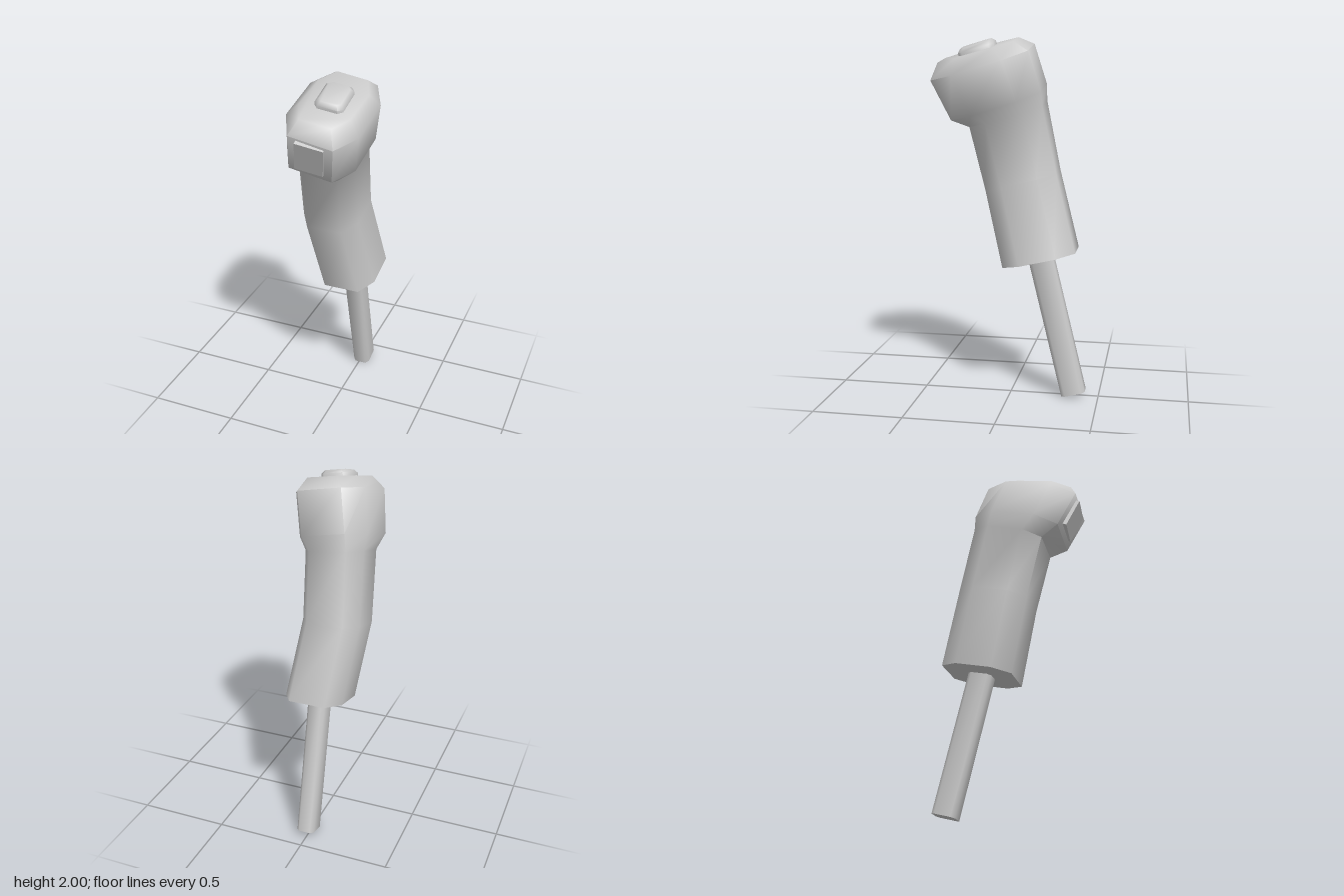
import * as THREE from 'three';
import { toCreasedNormals } from 'three/addons/utils/BufferGeometryUtils.js';

const material = new THREE.MeshStandardMaterial({ color: 0xcccccc });

// Eight-sided ring: x centre, half width, front and back [z, y] points,
// roll (drop toward +x), skew (x shift front to back), chamfer shares in x and depth.
function ring({ x, w, front, back, roll = 0, skew = 0, cu = 0.38, cv = 0.25 }) {
  const f = 1 - cu;
  const corners = [[-f, 0], [f, 0], [1, cv], [1, 1 - cv], [f, 1], [-f, 1], [-1, 1 - cv], [-1, cv]];
  return corners.map(([u, v]) => new THREE.Vector3(
    x + u * w + skew * (v - 0.5),
    THREE.MathUtils.lerp(front[1], back[1], v) - u * w * roll,
    THREE.MathUtils.lerp(front[0], back[0], v),
  ));
}

// Closed skin through a list of rings, from bottom to top.
function loft(name, specs, crease = 1.1) {
  const rings = specs.map(ring);
  const n = rings[0].length;
  const positions = rings.flat().flatMap((p) => p.toArray());
  const index = [];
  for (let r = 0; r < rings.length - 1; r++) {
    for (let i = 0; i < n; i++) {
      const a = r * n + i, b = r * n + (i + 1) % n;
      index.push(a, b, b + n, a, b + n, a + n);
    }
  }
  const top = (rings.length - 1) * n;
  for (let i = 1; i < n - 1; i++) {
    index.push(0, i + 1, i, top, top + i, top + i + 1);
  }
  const geometry = new THREE.BufferGeometry();
  geometry.setAttribute('position', new THREE.Float32BufferAttribute(positions, 3));
  geometry.setIndex(index);
  const mesh = new THREE.Mesh(toCreasedNormals(geometry, crease), material);
  mesh.name = name;
  return mesh;
}

export function createModel() {
  const group = new THREE.Group();
  group.name = 'controlStick';

  // Leaning shaft
  group.add(loft('shaft', [
    { x: 0.01, w: 0.05, front: [-0.295, 0], back: [-0.427, 0.035], cu: 0.35, cv: 0.16 },
    { x: 0.01, w: 0.05, front: [-0.095, 0.82], back: [-0.227, 0.855], cu: 0.35, cv: 0.16 },
  ]));

  // Bent grip flowing into the head
  group.add(loft('gripAndHead', [
    { x: 0.008, w: 0.163, front: [0.03, 0.745], back: [-0.37, 0.84] },
    { x: -0.05, w: 0.16, front: [0.135, 1.165], back: [-0.257, 1.262] },
    { x: -0.037, w: 0.161, front: [0.22, 1.525], back: [-0.18, 1.64], roll: 0.12 },
    { x: -0.028, w: 0.188, front: [0.32, 1.57], back: [-0.178, 1.725], roll: 0.18, skew: 0.03 },
    { x: 0.018, w: 0.191, front: [0.42, 1.785], back: [-0.115, 1.94], roll: 0.18, skew: 0.03 },
    { x: 0.03, w: 0.135, front: [0.385, 1.872], back: [-0.035, 1.982], roll: 0.16, skew: 0.03 },
  ]));

  // Bevelled thumb button on top
  const button = loft('thumbButton', [
    { x: 0, w: 0.075, front: [0.1, -0.04], back: [-0.1, -0.04], cu: 0.3, cv: 0.12 },
    { x: 0, w: 0.075, front: [0.1, 0.012], back: [-0.1, 0.012], cu: 0.3, cv: 0.12 },
    { x: 0, w: 0.058, front: [0.083, 0.03], back: [-0.083, 0.03], cu: 0.3, cv: 0.12 },
  ]);
  button.position.set(0.033, 1.932, 0.178);
  button.rotation.set(0.28, 0, -0.17);
  group.add(button);

  // Square trigger pad on the front of the head
  const pad = new THREE.Mesh(new THREE.BoxGeometry(0.15, 0.185, 0.05), material);
  pad.name = 'triggerPad';
  pad.position.set(-0.018, 1.692, 0.368);
  pad.rotation.set(0.42, 0, -0.19);
  group.add(pad);

  return group;
}
